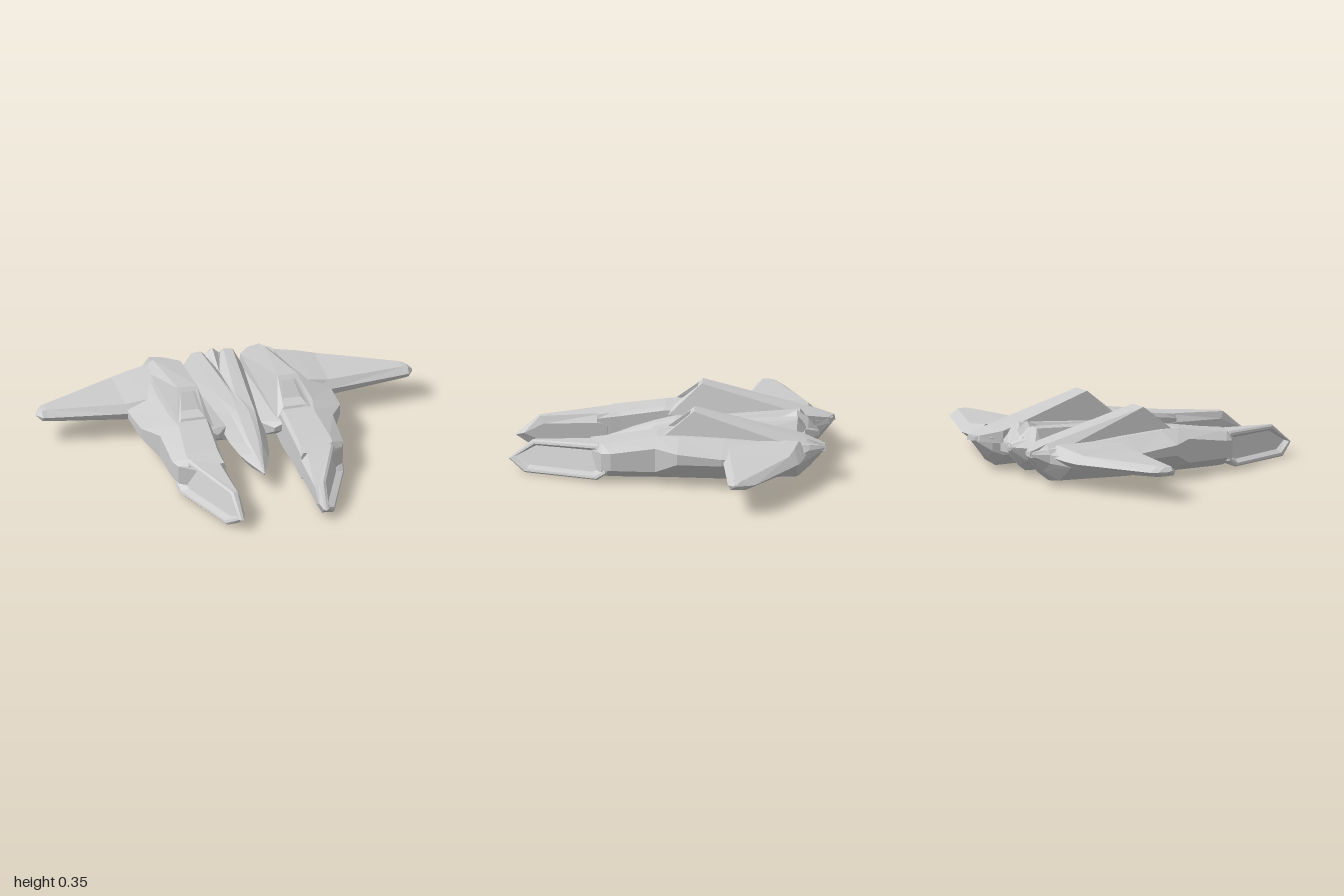
import * as THREE from 'three';

const material = new THREE.MeshStandardMaterial({ color: 0xcccccc, flatShading: true, side: THREE.DoubleSide });

// Skin a list of equal-length rings of [x, y, z], cap both ends, and face it outward.
function loft(name, rings, side = 1) {
  const tris = [];
  const R = rings.map((r) => r.map(([x, y, z]) => new THREE.Vector3(x * side, y, z)));
  const n = R[0].length;
  for (let i = 0; i < R.length - 1; i++) {
    for (let j = 0; j < n; j++) {
      const k = (j + 1) % n;
      const a = R[i][j], b = R[i][k], c = R[i + 1][k], d = R[i + 1][j];
      tris.push([a, b, c], [a, c, d]);
    }
  }
  const cap = (ring, flip) => {
    const mid = ring.reduce((s, p) => s.add(p), new THREE.Vector3()).divideScalar(n);
    ring.forEach((p, j) => {
      const q = ring[(j + 1) % n];
      tris.push(flip ? [mid, q, p] : [mid, p, q]);
    });
  };
  cap(R[0], true);
  cap(R[R.length - 1], false);
  const volume = tris.reduce((s, [a, b, c]) => s + a.dot(b.clone().cross(c)), 0);
  const points = tris.flatMap((t) => (volume < 0 ? [t[0], t[2], t[1]] : t));
  const geometry = new THREE.BufferGeometry().setFromPoints(points);
  geometry.computeVertexNormals();
  const mesh = new THREE.Mesh(geometry, material);
  mesh.name = name;
  return mesh;
}

// Closed symmetric ring from a bottom point, a +x half and a top point.
function mirroredRing(z, bottom, half, top) {
  const other = half.slice().reverse().map(([x, y]) => [-x, y]);
  return [[0, bottom], ...half, [0, top], ...other].map(([x, y]) => [x, y, z]);
}

// Central hull: keel, flanks, canopy, and twin flat dorsal ridges with a V between.
function fuselage() {
  // z, keel y, half width, flank y, outer ridge x and y, inner ridge x and y, centre y
  const stations = [
    [0.42, 0.09, 0.003, 0.1, 0.002, 0.105, 0.001, 0.105, 0.106],
    [0.28, 0.05, 0.058, 0.11, 0.025, 0.145, 0.012, 0.15, 0.15],
    [0.2, 0.035, 0.08, 0.115, 0.042, 0.17, 0.025, 0.178, 0.178],
    [0.08, 0.022, 0.1, 0.125, 0.055, 0.205, 0.03, 0.215, 0.215],
    [-0.02, 0.015, 0.11, 0.14, 0.065, 0.23, 0.03, 0.24, 0.24],
    [-0.23, 0.015, 0.13, 0.15, 0.08, 0.235, 0.012, 0.24, 0.238],
    [-0.66, 0.03, 0.16, 0.17, 0.11, 0.267, 0.06, 0.272, 0.215],
    [-0.7, 0.06, 0.15, 0.17, 0.1, 0.215, 0.045, 0.215, 0.21],
    [-0.76, 0.14, 0.03, 0.165, 0.02, 0.18, 0.01, 0.185, 0.185],
  ];
  return loft('fuselage', stations.map(([z, yb, hw, ym, xr, yr, xv, yv, yc]) =>
    mirroredRing(z, yb, [[hw * 0.55, yb + (ym - yb) * 0.35], [hw, ym], [xr, yr], [xv, yv]], yc)));
}

// Faceted dome ending the valley at the stern.
function tailDome() {
  const stations = [[-0.5, 0.015, 0.21, 0.225], [-0.65, 0.045, 0.265, 0.29], [-0.71, 0.05, 0.22, 0.25], [-0.765, 0.015, 0.165, 0.175]];
  return loft('tailDome', stations.map(([z, w, y, top]) =>
    mirroredRing(z, 0.15, [[w, 0.16], [w, y - 0.01], [w * 0.6, y]], top)));
}

// Long side boom carrying the wing and the intake.
function boom(side) {
  // z, inner x, top outer x, top y, outer x, outer upper y, outer lower y, bottom y
  const stations = [
    [0.4, 0.202, 0.31, 0.183, 0.335, 0.15, 0.05, 0.012],
    [0.33, 0.2, 0.385, 0.193, 0.435, 0.155, 0.06, 0.007],
    [0.28, 0.2, 0.385, 0.2, 0.455, 0.16, 0.07, 0.006],
    [0.05, 0.19, 0.36, 0.238, 0.46, 0.195, 0.07, 0.008],
    [-0.07, 0.18, 0.38, 0.24, 0.53, 0.185, 0.13, 0.01],
    [-0.3, 0.18, 0.38, 0.23, 0.54, 0.165, 0.13, 0.01],
    [-0.68, 0.165, 0.36, 0.205, 0.47, 0.165, 0.12, 0.02],
    [-0.74, 0.185, 0.34, 0.2, 0.36, 0.175, 0.13, 0.07],
    [-0.815, 0.24, 0.3, 0.185, 0.305, 0.175, 0.168, 0.16],
  ];
  return loft('boom', stations.map(([z, xi, xt, yt, xo, yu, yl, yb]) => {
    const w = xo - xi;
    return [
      [xi, yt - 0.02], [xi + w * 0.06, yt], [xt, yt], [xo, yu], [xo, yl],
      [xi + w * 0.62, yb + (yl - yb) * 0.15], [xi + w * 0.28, yb], [xi, yb + (yl - yb) * 0.65],
    ].map(([x, y]) => [x, y, z]);
  }), side);
}

// Pointed forward prong with a framed, recessed outer panel leaning upward.
function prong(side) {
  const outline = [
    [0.825, 0.065], [0.7, 0.17], [0.35, 0.19], [0.3, 0.16],
    [0.3, 0.05], [0.35, 0.015], [0.74, 0.006],
  ];
  const outer = (z, y) => 0.278 + (0.7 - z) * 0.4 + (0.09 - y) * 0.35;
  const ring = (inset, xOf) => outline.map(([z, y]) => {
    const zz = 0.56 + (z - 0.56) * (1 - inset / 0.26);
    const yy = 0.093 + (y - 0.093) * (1 - inset / 0.09);
    return [xOf(zz, yy), yy, zz];
  });
  return loft('prong', [
    ring(0.045, () => 0.2),
    ring(0.004, (z, y) => 0.21 + (outer(z, y) - 0.21) * 0.15),
    ring(0, (z, y) => outer(z, y) - 0.01),
    ring(0.008, outer),
    ring(0.02, outer),
    ring(0.036, (z, y) => outer(z, y) - 0.03),
  ], side);
}

// Swept wing with bevelled edges.
function wing(side) {
  // x, leading z, trailing z, top y, bottom y, edge y
  const stations = [
    [0.34, -0.29, -0.735, 0.22, 0.1, 0.165],
    [0.45, -0.3, -0.72, 0.205, 0.105, 0.155],
    [0.54, -0.31, -0.7, 0.19, 0.11, 0.15],
    [0.95, -0.365, -0.51, 0.182, 0.125, 0.152],
    [0.975, -0.368, -0.475, 0.178, 0.13, 0.153],
    [1, -0.4, -0.42, 0.16, 0.15, 0.155],
  ];
  return loft('wing', stations.map(([x, le, te, yt, yb, ym]) => {
    const f = Math.min(0.035, (le - te) * 0.25);
    const b = Math.min(0.05, (le - te) * 0.35);
    return [
      [le, ym], [le - f, yt], [te + b, yt], [te, ym], [te + b, yb], [le - f * 0.5, yb],
    ].map(([z, y]) => [x, y, z]);
  }), side);
}

// Raised intake with a sloping hollow mouth and a spine widening aft.
function intake(side) {
  return loft('intake', [
    [[0.22, 0.16, -0.8], [0.3, 0.16, -0.825], [0.295, 0.19, -0.82], [0.225, 0.19, -0.795]],
    [[0.155, 0.15, -0.7], [0.36, 0.17, -0.735], [0.297, 0.222, -0.72], [0.16, 0.215, -0.69]],
    [[0.17, 0.2, 0.03], [0.36, 0.22, 0.03], [0.32, 0.36, -0.14], [0.215, 0.36, -0.14]],
    [[0.21, 0.25, 0.0], [0.335, 0.25, 0.0], [0.305, 0.342, -0.118], [0.23, 0.342, -0.118]],
    [[0.22, 0.25, -0.09], [0.325, 0.25, -0.09], [0.3, 0.325, -0.16], [0.235, 0.325, -0.16]],
  ], side);
}

// Sunken deck joining the hull to each boom.
function deck(side) {
  const stations = [[0.05, 0.15, 0.14, 0.19], [-0.02, 0.085, 0.09, 0.2], [-0.4, 0.05, 0.08, 0.19], [-0.7, 0.05, 0.11, 0.17]];
  return loft('deck', stations.map(([z, x0, yb, yt]) => [
    [x0, yb, z], [0.22, yb, z], [0.22, yt, z], [x0, yt - 0.03, z],
  ]), side);
}

export function createModel() {
  const model = new THREE.Group();
  model.name = 'spacecraft';
  model.add(fuselage(), tailDome());
  for (const side of [1, -1]) {
    const half = new THREE.Group();
    half.name = side > 0 ? 'leftSide' : 'rightSide';
    half.add(boom(side), prong(side), wing(side), intake(side), deck(side));
    model.add(half);
  }
  return model;
}
